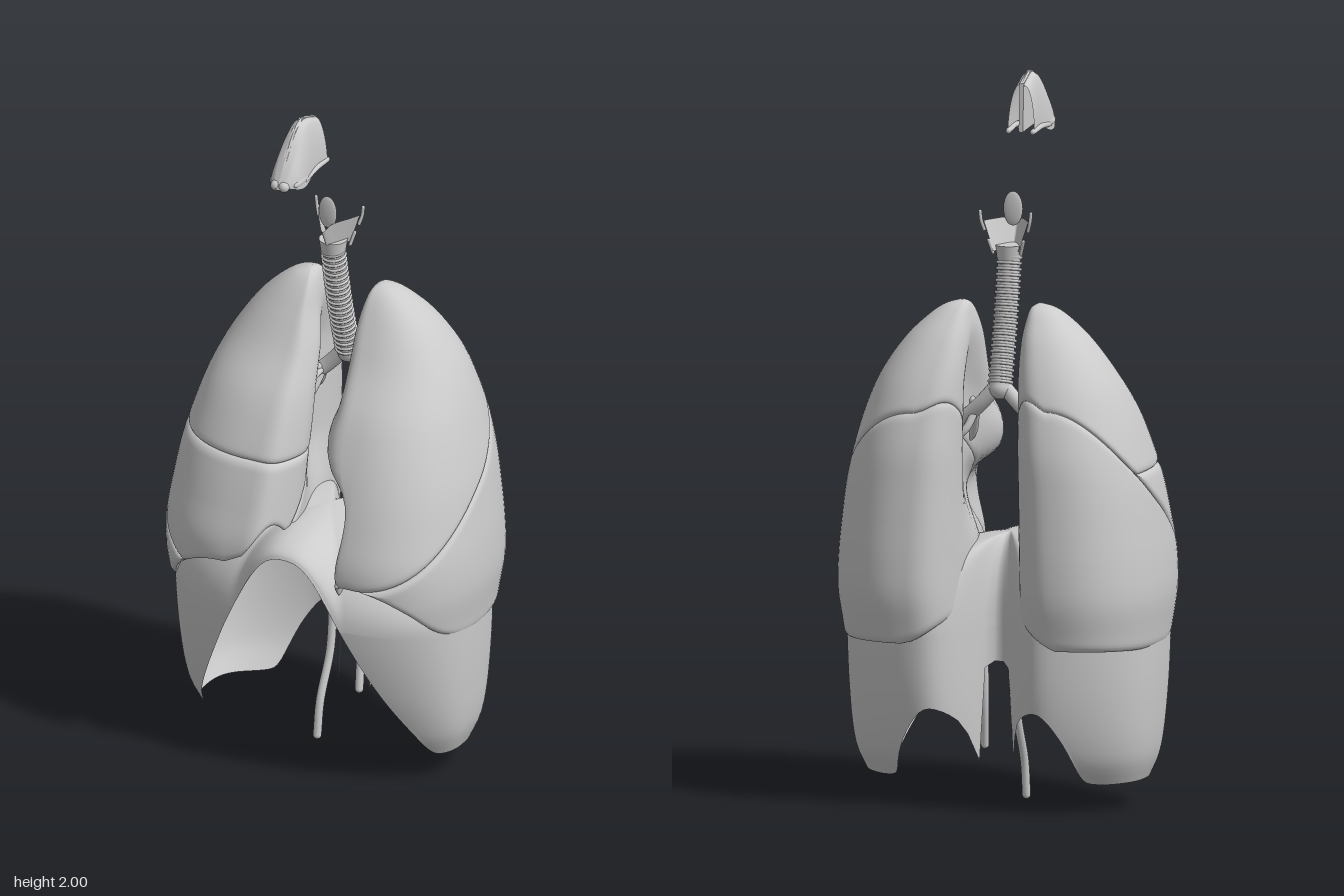
import * as THREE from 'three';

const V = (x, y, z) => new THREE.Vector3(x, y, z);
const { lerp, smoothstep, clamp } = THREE.MathUtils;
const spow = (v, e) => Math.sign(v) * Math.abs(v) ** e;
const bell = (x, w) => Math.exp(-((x / w) ** 2));
const solid = new THREE.MeshStandardMaterial({ color: 0xcccccc });
const sheet = new THREE.MeshStandardMaterial({ color: 0xcccccc, side: THREE.DoubleSide });

// Smooth interpolation through [position, value] pairs in rising order
function curve(pts) {
  const last = pts.length - 1;
  const slope = (i) => {
    const a = pts[Math.max(i - 1, 0)], b = pts[Math.min(i + 1, last)];
    return (b[1] - a[1]) / (b[0] - a[0]);
  };
  return (value) => {
    const x = clamp(value, pts[0][0], pts[last][0]);
    let i = 0;
    while (i < last - 1 && x > pts[i + 1][0]) i++;
    const [x0, y0] = pts[i], [x1, y1] = pts[i + 1];
    const h = x1 - x0, t = (x - x0) / h, u = 1 - t;
    return u * u * (1 + 2 * t) * y0 + t * u * u * h * slope(i) + t * t * (3 - 2 * t) * y1 - t * t * u * h * slope(i + 1);
  };
}

// Skin over rows x cols points given by fn(row, col)
function skin(rows, cols, fn, closed, flip) {
  const pos = [], idx = [];
  for (let r = 0; r < rows; r++) for (let c = 0; c < cols; c++) pos.push(...fn(r, c).toArray());
  for (let r = 0; r < rows - 1; r++) for (let c = 0; c < (closed ? cols : cols - 1); c++) {
    const n = (c + 1) % cols, a = r * cols + c, b = a + cols, d = r * cols + n, e = d + cols;
    idx.push(...(flip ? [a, d, b, b, d, e] : [a, b, d, b, e, d]));
  }
  const g = new THREE.BufferGeometry();
  g.setAttribute('position', new THREE.Float32BufferAttribute(pos, 3));
  g.setIndex(idx);
  g.computeVertexNormals();
  return g;
}

function group(name) {
  const g = new THREE.Group();
  g.name = name;
  return g;
}

function add(parent, name, geometry, material = solid) {
  const m = new THREE.Mesh(geometry, material);
  m.name = name;
  parent.add(m);
  return m;
}

// Round-ended tube through points
function tube(parent, name, pts, radius) {
  const m = add(parent, name, new THREE.TubeGeometry(new THREE.CatmullRomCurve3(pts), 16, radius, 12));
  for (const p of [pts[0], pts[pts.length - 1]])
    add(m, name + 'End', new THREE.SphereGeometry(radius, 12, 8)).position.copy(p);
}

function ellipsoid(parent, name, size, place) {
  const m = add(parent, name, new THREE.SphereGeometry(1, 18, 12));
  m.scale.copy(size);
  m.position.copy(place);
}

// Lung extents by height
const outer = curve([[.45, .445], [.5, .452], [.6, .465], [.7, .462], [.8, .45], [.9, .435], [1, .41],
  [1.1, .378], [1.2, .332], [1.3, .262], [1.36, .2], [1.39, .155], [1.4, .12]]);
const front = curve([[.45, .28], [.5, .295], [.6, .315], [.7, .318], [.8, .292], [.9, .26], [1, .22],
  [1.1, .168], [1.2, .092], [1.3, .03], [1.36, -.01], [1.39, -.04], [1.4, -.065]]);
const back = curve([[.45, -.305], [.5, -.315], [.6, -.335], [.7, -.337], [.8, -.332], [.9, -.325], [1, -.315],
  [1.1, -.29], [1.2, -.255], [1.3, -.2], [1.36, -.15], [1.39, -.115], [1.4, -.085]]);
const innerBack = curve([[.45, .07], [1.2, .065], [1.3, .07], [1.36, .08], [1.39, .09], [1.4, .105]]);
const innerRight = curve([[.45, .03], [.7, .02], [1, .012], [1.2, .03], [1.3, .06], [1.36, .075], [1.39, .09], [1.4, .105]]);
const innerLeft = curve([[.45, .13], [.6, .13], [.7, .135], [.8, .16], [.86, .16], [.91, .12], [.95, .06], [1, .035],
  [1.05, .037], [1.1, .055], [1.2, .055], [1.3, .06], [1.36, .075], [1.39, .09], [1.4, .105]]);
const baseEdge = curve([[-.33, .47], [-.1, .46], [.1, .465], [.2, .505], [.28, .585], [.33, .645]]);

// Point on the lung surface at height y; c points outward, s forward
function lungPoint(side, y, c, s, scale) {
  const ib = innerBack(y), o = outer(y), f = front(y), b = back(y), cx = lerp(ib, o, .4);
  const w = smoothstep(s, -.2, .6);
  const hilum = .045 * bell(s + .05, .3) * smoothstep(y, .7, .9) * (1 - smoothstep(y, 1.15, 1.35));
  const inner = lerp(ib, (side < 0 ? innerRight : innerLeft)(y), w) + hilum;
  const bend = lerp(side < 0 ? .8 : .62, .5, w);
  const lean = (side < 0 ? .05 : .025) * Math.max(0, s) ** 3 * (1 - Math.abs(c)) * (o - ib) / .4;
  const dx = (c > 0 ? (o - cx) * c ** .9 : -(cx - inner) * Math.abs(c) ** bend) - lean;
  return V(side * (cx + dx * scale), y, (f + b) / 2 + (f - b) / 2 * spow(s, .92) * scale);
}

// One lobe between two edge heights, with rounded rims and closed ends
function lobe(parent, name, side, low, high, domed) {
  const cap = 5, wall = 38, cols = 80, rows = wall + 2 * cap + 1;
  add(parent, name, skin(rows, cols, (r, k) => {
    const a = k / cols * Math.PI * 2, c = Math.cos(a), s = Math.sin(a);
    const lo = low(c, s), hi = Math.max(lo, high(c, s));
    const y = lerp(lo, hi, .5 - .5 * Math.cos(clamp((r - cap) / wall, 0, 1) * Math.PI));
    const near = hi > 1.39 ? y - lo : Math.min(y - lo, hi - y);
    const q = 1 - clamp(near / .022, 0, 1);
    const shrink = 1 - .05 * (1 - Math.sqrt(1 - q * q));
    const inward = clamp(Math.min(r, rows - 1 - r) / cap, 0, 1);
    const p = lungPoint(side, y, c, s, shrink * inward);
    if (r < cap) p.y = lerp(domed ? .72 : low(0, 0), lo, domed ? inward ** 2 : inward);
    if (r > cap + wall) p.y = lerp(high(0, 0), hi, inward);
    return p;
  }, true, side < 0));
}

function lung(side) {
  const g = group(side < 0 ? 'rightLung' : 'leftLung');
  const rise = (c, s) => Math.max(0, -c) * (1 - Math.max(0, s));
  const base = (c, s) => baseEdge(.33 * s) + .1 * rise(c, s) + (side < 0 ? .36 * Math.max(0, -c) * Math.max(0, s) : 0);
  const oblique = (c, s) => Math.max(base(c, s),
    (side < 0 ? .58 : .65) + (.32 - .33 * s) * (side < 0 ? .85 : .71) + .12 * rise(c, s));
  const horizontal = (c, s) => Math.max(oblique(c, s), .935 + .012 * c);
  lobe(g, 'lowerLobe', side, base, oblique, true);
  if (side < 0) lobe(g, 'middleLobe', side, oblique, horizontal, false);
  lobe(g, 'upperLobe', side, side < 0 ? horizontal : oblique, () => 1.4, false);
  return g;
}

// Domed sheet with a front arch, two back arches and a notch for the spine
function diaphragm() {
  const g = group('diaphragm');
  const frontRim = curve([[0, .69], [.05, .675], [.1, .62], [.18, .47], [.26, .31], [.35, .15], [.4, .085], [.45, .08]]);
  const backRim = curve([[0, .39], [.035, .375], [.05, .13], [.065, .19], [.09, .25], [.14, .285], [.18, .275], [.23, .21],
    [.29, .1], [.33, .08], [.45, .08]]);
  const frontScale = curve([[.07, .5], [.15, .68], [.3, .88], [.5, 1], [.8, 1]]);
  const backScale = curve([[.07, .66], [.15, .84], [.3, .96], [.5, 1], [.8, 1]]);
  const xScale = curve([[.07, .88], [.15, .95], [.3, .985], [.5, 1], [.8, 1]]);
  const dome = 16, wall = 18, cols = 180;
  add(g, 'diaphragmSheet', skin(dome + wall + 1, cols, (r, k) => {
    const a = (k + .5) / cols * Math.PI * 2, s = Math.sin(a);
    const x = .446 * spow(Math.cos(a), .88);
    const z = .302 * spow(s, .75) + (s < 0 ? .21 * bell(x, .09) : 0);
    const rim = (s > 0 ? frontRim : backRim)(Math.abs(x)), shoulder = Math.max(.5, rim);
    if (r <= dome) {
      const q = Math.sin(r / dome * Math.PI / 2), crown = .745 - .12 * x * q;
      return V(x * q, shoulder + (crown - shoulder) * Math.sqrt(1 - Math.min(1, q ** 2.2)), lerp(.02, z, q));
    }
    const y = lerp(shoulder, rim, (r - dome) / wall);
    return V(x * xScale(y), y, z * (s > 0 ? frontScale : backScale)(y));
  }, true, true), sheet);
  tube(g, 'rightCrus', [V(-.042, .4, -.075), V(-.04, .25, -.055), V(-.046, .11, -.005), V(-.047, .012, .01)], .012);
  tube(g, 'leftCrus', [V(.048, .4, -.075), V(.05, .28, -.065), V(.057, .155, -.04)], .012);
  return g;
}

// Ringed windpipe with its branches
function airway() {
  const g = group('airway');
  const pts = [V(0, 1.51, .005), V(0, 1.35, -.03), V(0, 1.16, -.085)], path = new THREE.CatmullRomCurve3(pts);
  tube(g, 'trachea', pts, .032);
  for (let i = 0; i < 22; i++) {
    const ring = add(g, 'tracheaRing', new THREE.TorusGeometry(.032, .0045, 8, 24));
    ring.position.copy(path.getPointAt(i / 22));
    ring.quaternion.setFromUnitVectors(V(0, 0, 1), path.getTangentAt(i / 22));
  }
  for (const s of [-1, 1]) {
    tube(g, 'bronchus', [V(s * .006, 1.17, -.083), V(s * .06, 1.11, -.08), V(s * .14, 1.04, -.06)], .021);
    for (const [y, z] of [[1.13, -.03], [1.06, .02], [1, -.1], [.96, -.03]])
      tube(g, 'bronchusBranch', [V(s * .07, 1.1, -.078), V(s * .1, lerp(1.09, y, .6), z), V(s * .17, y, z)], .011);
  }
  return g;
}

function larynx() {
  const g = group('larynx');
  add(g, 'cricoidCartilage', new THREE.CylinderGeometry(.04, .034, .04, 28)).position.set(0, 1.525, .005);
  add(g, 'thyroidCartilage', skin(10, 33, (r, k) => {
    const u = r / 9, v = k / 16 - 1;
    return V(v * lerp(.036, .064, u), 1.53 + u * (.085 - .022 * bell(v, .22)),
      lerp(lerp(.042, .072, u), -.03, Math.abs(v) ** 1.3));
  }, false, false), sheet);
  ellipsoid(g, 'epiglottis', V(.028, .048, .007), V(0, 1.64, .038));
  for (const s of [-1, 1]) {
    tube(g, 'upperHorn', [V(s * .063, 1.59, -.028), V(s * .07, 1.615, -.033), V(s * .073, 1.64, -.033)], .005);
    tube(g, 'lowerHorn', [V(s * .05, 1.56, -.028), V(s * .04, 1.525, -.02)], .005);
  }
  return g;
}

// Hollow nose: two curved walls, a central septum and nostril wings
function nose() {
  const g = group('nose');
  const ridge = curve([[0, 1.975], [.35, 2], [.55, 1.98], [.78, 1.92], [.94, 1.865], [1, 1.84]]);
  const width = curve([[0, .038], [.3, .038], [.65, .046], [.85, .042], [1, .02]]);
  for (const s of [-1, 1]) {
    add(g, 'noseWall', skin(14, 24, (r, k) => {
      const u = r / 13, t = k / 23;
      return V(s * width(t) * Math.sin(u * Math.PI / 2) ** .4,
        lerp(ridge(t), 1.837 + .012 * Math.sin(t * 7), u), lerp(.12, .338, t) - .008 * u);
    }, false, false), sheet);
    ellipsoid(g, 'nostrilWing', V(.01, .014, .045), V(s * .037, 1.847, .265));
    ellipsoid(g, 'noseTip', V(.016, .016, .016), V(s * .012, 1.846, .322));
    tube(g, 'noseBase', [V(s * .04, 1.842, .25), V(s * .038, 1.847, .18), V(s * .035, 1.842, .11)], .008);
  }
  const shape = new THREE.Shape([[.12, 1.975], [.196, 2], [.24, 1.98], [.29, 1.92], [.335, 1.84], [.25, 1.848], [.11, 1.84]]
    .map(([z, y]) => new THREE.Vector2(-z, y)));
  const septum = add(g, 'septum', new THREE.ExtrudeGeometry(shape, { depth: .012, bevelEnabled: false }));
  septum.rotation.y = Math.PI / 2;
  septum.position.x = -.006;
  return g;
}

export function createModel() {
  const model = group('respiratorySystem');
  model.add(lung(-1), lung(1), diaphragm(), airway(), larynx(), nose());
  return model;
}
